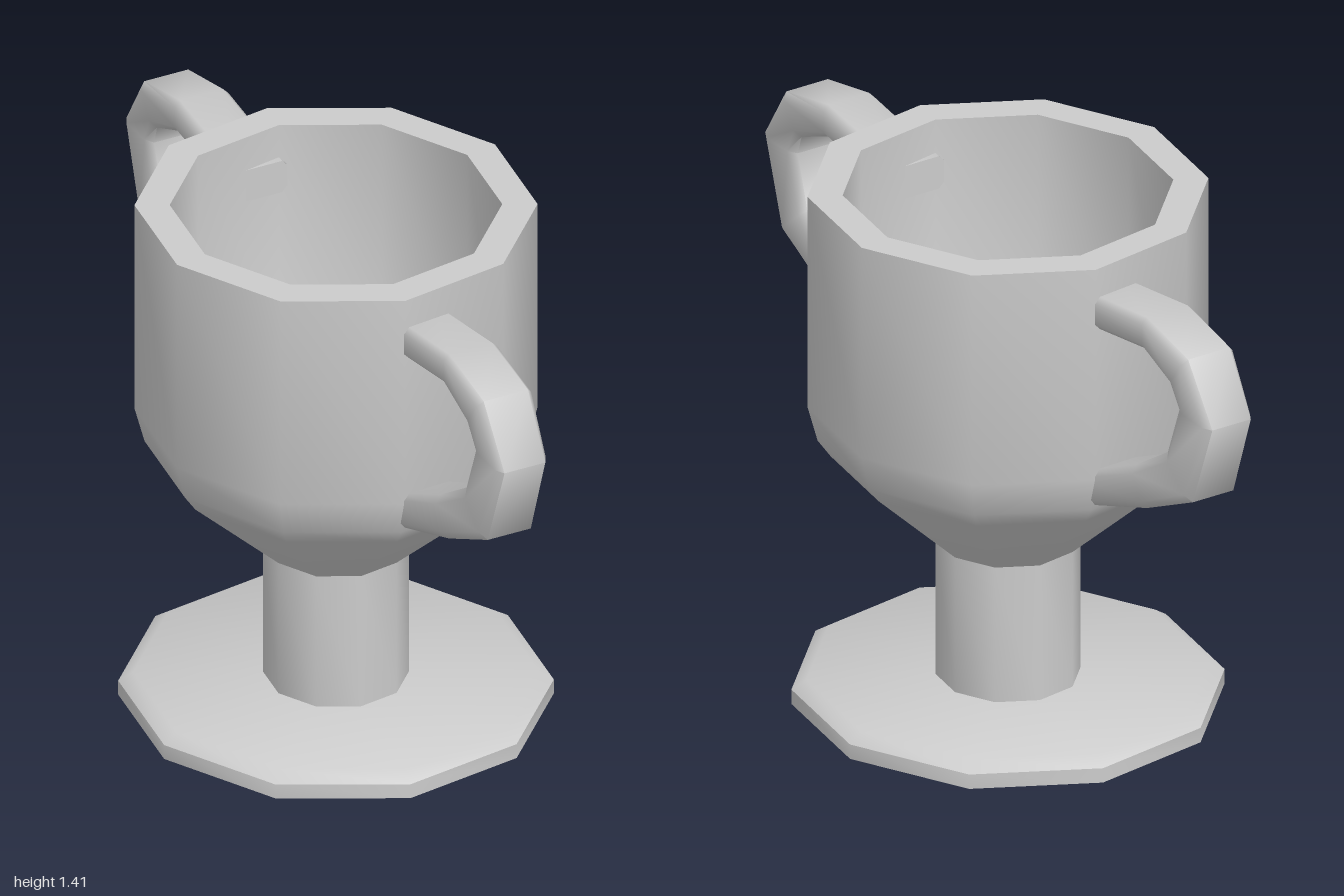
import * as THREE from 'three';
import { toCreasedNormals } from 'three/addons/utils/BufferGeometryUtils.js';

const SIDES = 10;

// Closed band swept along a path in the xy plane, with a bevelled rectangular section.
// Each station is [x, y, half thickness, half width].
function sweepHandle(stations) {
  const section = [[1, 0.8], [0.65, 1], [-0.65, 1], [-1, 0.8], [-1, -0.8], [-0.65, -1], [0.65, -1], [1, -0.8]];
  const n = section.length;
  const last = stations.length - 1;
  const positions = [];
  const index = [];
  stations.forEach(([x, y, thick, wide], i) => {
    const a = stations[Math.max(i - 1, 0)];
    const b = stations[Math.min(i + 1, last)];
    // the two ends are cut upright, inside the cup wall
    const t = new THREE.Vector2(b[0] - a[0], b[1] - a[1]).normalize();
    if (i === 0) t.set(1, 0);
    if (i === last) t.set(-1, 0);
    for (const [s, w] of section) {
      positions.push(x - t.y * s * thick, y + t.x * s * thick, w * wide);
    }
  });
  for (let i = 0; i < last; i++) {
    for (let j = 0; j < n; j++) {
      const k = (j + 1) % n;
      const a = i * n + j, b = i * n + k, c = b + n, d = a + n;
      index.push(a, b, c, a, c, d);
    }
  }
  for (let j = 1; j < n - 1; j++) {
    index.push(0, j + 1, j);
    index.push(last * n, last * n + j, last * n + j + 1);
  }
  const geometry = new THREE.BufferGeometry();
  geometry.setAttribute('position', new THREE.Float32BufferAttribute(positions, 3));
  geometry.setIndex(index);
  return toCreasedNormals(geometry, 1.1);
}

export function createModel() {
  const group = new THREE.Group();
  const material = new THREE.MeshStandardMaterial({ color: 0xcccccc });

  const turned = (name, profile) => {
    const points = profile.map(([r, y]) => new THREE.Vector2(r, y));
    const geometry = new THREE.LatheGeometry(points, SIDES, -0.04);
    geometry.scale(1.03, 1, 1);
    const mesh = new THREE.Mesh(toCreasedNormals(geometry, 0.7), material);
    mesh.name = name;
    group.add(mesh);
  };

  // Bevelled foot
  turned('base', [[0, 0], [0.537, 0], [0.537, 0.04], [0.5, 0.065], [0, 0.065]]);

  // Straight stem
  turned('stem', [[0.18, 0.06], [0.18, 0.44]]);

  // Hollow cup: outer wall, flat rim, inner wall and floor
  turned('cup', [
    [0.18, 0.44], [0.44, 0.685], [0.472, 0.73], [0.497, 0.825], [0.497, 1.41],
    [0.41, 1.41], [0.41, 0.83], [0.375, 0.715], [0.18, 0.475], [0, 0.475],
  ]);

  // Two handles, half a turn apart
  const handleGeometry = sweepHandle([
    [0.4, 1.27, 0.045, 0.075],
    [0.715, 1.317, 0.044, 0.076],
    [0.868, 1.272, 0.06, 0.078],
    [0.931, 1.165, 0.073, 0.072],
    [0.865, 0.978, 0.073, 0.076],
    [0.69, 0.88, 0.056, 0.076],
    [0.42, 0.765, 0.047, 0.075],
  ]);
  ['leftHandle', 'rightHandle'].forEach((name, i) => {
    const handle = new THREE.Mesh(handleGeometry, material);
    handle.name = name;
    handle.rotation.y = -0.2 + i * Math.PI;
    group.add(handle);
  });

  return group;
}
